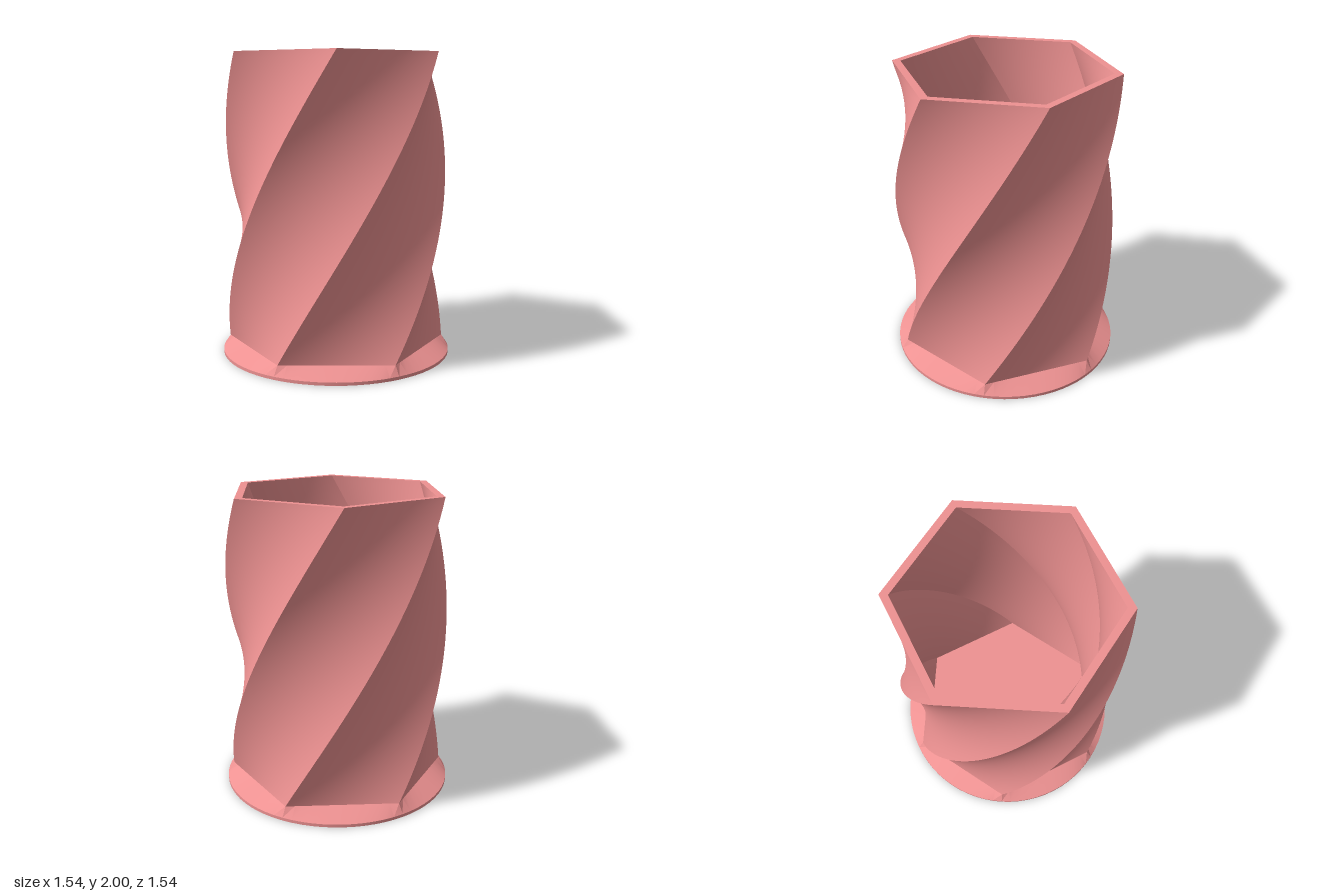
import * as THREE from 'three';
import { toCreasedNormals } from 'three/addons/utils/BufferGeometryUtils.js';

const SIDES = 6, STEPS = 12, LEVELS = 48;
const HEIGHT = 2, BASE = 0.08, LIP = 0.02;
const OUTER = 0.73, INNER = 0.675, FLANGE = 0.77;
const START = Math.PI / 6, TWIST = Math.PI / 2;

// Round cross-section: point at fraction u of sector s
const circle = (r, y) => (s, u) => {
  const a = START + (s + u) * 2 * Math.PI / SIDES;
  return new THREE.Vector3(r * Math.sin(a), y, r * Math.cos(a));
};

// Hexagonal cross-section, turned according to its height
const hexagon = (r, y) => (s, u) => {
  const turn = START + TWIST * (y - BASE) / (HEIGHT - BASE);
  const corner = (k) => {
    const a = turn + k * 2 * Math.PI / SIDES;
    return new THREE.Vector3(r * Math.sin(a), y, r * Math.cos(a));
  };
  return corner(s).lerp(corner(s + 1), u);
};

// Stack of twisted hexagons from one height to another
const twisted = (r, y0, y1) => Array.from({ length: LEVELS + 1 },
  (_, i) => hexagon(r, y0 + (y1 - y0) * i / LEVELS));

// Skin a list of cross-sections
function loft(sections) {
  const pos = [];
  const add = (...pts) => pts.forEach((p) => pos.push(p.x, p.y, p.z));
  for (let i = 0; i < sections.length - 1; i++) {
    for (let s = 0; s < SIDES; s++) {
      for (let j = 0; j < STEPS; j++) {
        const u = j / STEPS, v = (j + 1) / STEPS;
        const a = sections[i](s, u), b = sections[i](s, v);
        const c = sections[i + 1](s, v), d = sections[i + 1](s, u);
        if (a.distanceTo(b) > 1e-6) add(a, b, c);
        if (c.distanceTo(d) > 1e-6) add(a, c, d);
      }
    }
  }
  const g = new THREE.BufferGeometry();
  g.setAttribute('position', new THREE.Float32BufferAttribute(pos, 3));
  return toCreasedNormals(g, Math.PI / 9);
}

export function createModel() {
  const group = new THREE.Group();
  group.name = 'twistedHexagonalVase';
  const material = new THREE.MeshStandardMaterial({ color: 0xee9292 });
  const part = (name, sections) => {
    const mesh = new THREE.Mesh(loft(sections), material);
    mesh.name = name;
    group.add(mesh);
  };

  // Round foot flaring from the hexagon out to a thin disc
  part('foot', [circle(0, 0), circle(FLANGE, 0), circle(FLANGE, LIP), hexagon(OUTER, BASE)]);
  // Outer wall, quarter turn from bottom to top
  part('outerWall', twisted(OUTER, BASE, HEIGHT));
  // Flat rim between the outer and inner hexagons
  part('rim', [hexagon(OUTER, HEIGHT), hexagon(INNER, HEIGHT)]);
  // Inner wall, running down to the floor
  part('innerWall', twisted(INNER, HEIGHT, BASE));
  part('floor', [hexagon(INNER, BASE), circle(0, BASE)]);

  return group;
}
